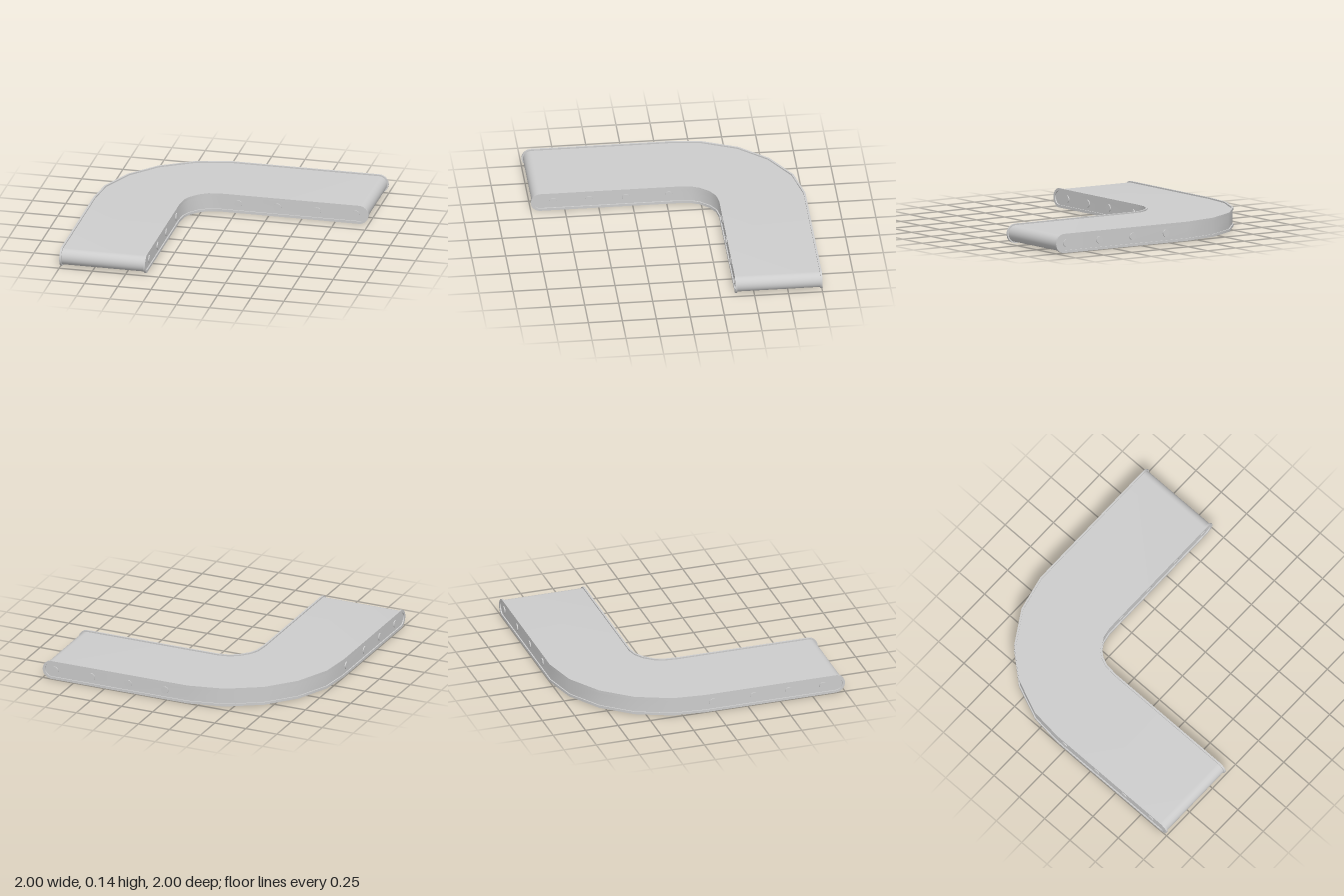
import * as THREE from 'three';
import { toCreasedNormals } from 'three/addons/utils/BufferGeometryUtils.js';

const R = 0.071;        // half height of the side rails
const BELT_R = 0.061;   // half thickness of the belt
const PANEL_R = 0.052;  // half height of the recessed rail panel
const RAIL = 0.014, RECESS = 0.009;

// Side edges in plan [x, z], from the front end round the bend to the left end
const OUTER = [[-1, 1], [-1, -0.08], [-0.975, -0.32], [-0.865, -0.58],
  [-0.685, -0.79], [-0.44, -0.94], [-0.17, -1], [1, -1]];
const INNER = [[-0.355, 1], [-0.355, -0.08], [-0.345, -0.18], [-0.32, -0.24],
  [-0.265, -0.305], [-0.2, -0.345], [-0.12, -0.36], [1, -0.36]];

// Long rounded outline following an edge; offset moves it to the outer side of the bend
function outline(edge, radius, offset) {
  const pts = edge.map(([x, z]) => new THREE.Vector2(x, z));
  const last = pts.length - 1;
  const dir = (i) => pts[i + 1].clone().sub(pts[i]).normalize();
  const stations = [];
  const add = (p, d, h) => stations.push([p.x + d.y * offset, p.y - d.x * offset, h]);
  const cap = (p, d, sign) => {
    for (let k = 0; k <= 8; k++) {
      const a = (sign > 0 ? k : 8 - k) / 8 * Math.PI / 2;
      const along = sign * (R - radius * Math.cos(a));
      add(p.clone().addScaledVector(d, along), d, radius * Math.sin(a));
    }
  };
  cap(pts[0], dir(0), 1);
  for (let i = 1; i < last; i++) add(pts[i], dir(i - 1).add(dir(i)).normalize(), radius);
  cap(pts[last], dir(last - 1), -1);
  const top = stations.map(([x, z, h]) => new THREE.Vector3(x, R + h, z));
  const bottom = stations.map(([x, z, h]) => new THREE.Vector3(x, R - h, z));
  return { top, bottom, loop: [...top, ...bottom.slice(1, -1).reverse()] };
}

// Strip of faces between two rows of points
function strip(out, a, b, closed, flip) {
  const tri = (p, q, r) => {
    const area = q.clone().sub(p).cross(r.clone().sub(p)).length();
    if (area < 1e-9) return;
    for (const v of flip ? [p, r, q] : [p, q, r]) out.push(v.x, v.y, v.z);
  };
  const n = a.length;
  for (let i = 0; i < (closed ? n : n - 1); i++) {
    const j = (i + 1) % n;
    tri(a[i], a[j], b[j]);
    tri(a[i], b[j], b[i]);
  }
}

function toGeometry(out) {
  const g = new THREE.BufferGeometry();
  g.setAttribute('position', new THREE.Float32BufferAttribute(out, 3));
  return toCreasedNormals(g, 0.6);
}

// Side rail: back face, rim, lip and recessed panel
function railGeometry(edge, side) {
  const out = [], flip = side < 0;
  const back = outline(edge, R, -side * RAIL);
  const rim = outline(edge, R, 0);
  const lip = outline(edge, PANEL_R, 0);
  const panel = outline(edge, PANEL_R, -side * RECESS);
  strip(out, back.bottom, back.top, false, flip);
  strip(out, back.loop, rim.loop, true, flip);
  strip(out, rim.loop, lip.loop, true, flip);
  strip(out, lip.loop, panel.loop, true, flip);
  strip(out, panel.top, panel.bottom, false, flip);
  return toGeometry(out);
}

export function createModel() {
  const model = new THREE.Group();
  model.name = 'curvedConveyor';
  const grey = new THREE.MeshStandardMaterial({ color: 0xcccccc });
  grey.name = 'light grey';

  const add = (name, geometry, parent = model) => {
    const mesh = new THREE.Mesh(geometry, grey);
    mesh.name = name;
    parent.add(mesh);
    return mesh;
  };

  // Belt running between the two rails
  const beltFaces = [];
  strip(beltFaces, outline(INNER, BELT_R, RAIL / 2).loop,
    outline(OUTER, BELT_R, -RAIL / 2).loop, true, false);
  add('belt', toGeometry(beltFaces));

  add('outerRail', railGeometry(OUTER, 1));
  add('innerRail', railGeometry(INNER, -1));

  // Round axle caps along both straight legs of each rail
  const caps = new THREE.Group();
  caps.name = 'axleCaps';
  model.add(caps);
  const capGeometry = new THREE.CylinderGeometry(0.028, 0.028, 0.012, 20);
  for (const [edge, side] of [[OUTER, 1], [INNER, -1]]) {
    const inset = side * (RECESS - 0.002);
    for (const z of [0.835, 0.57, 0.3, -0.015]) {
      const cap = add('axleCap', capGeometry, caps);
      cap.rotation.z = Math.PI / 2;
      cap.position.set(edge[0][0] + inset, R, z);
    }
    for (const x of [0.905, 0.61, 0.315, 0.02]) {
      const cap = add('axleCap', capGeometry, caps);
      cap.rotation.x = Math.PI / 2;
      cap.position.set(x, R, edge[edge.length - 1][1] + inset);
    }
  }
  return model;
}
